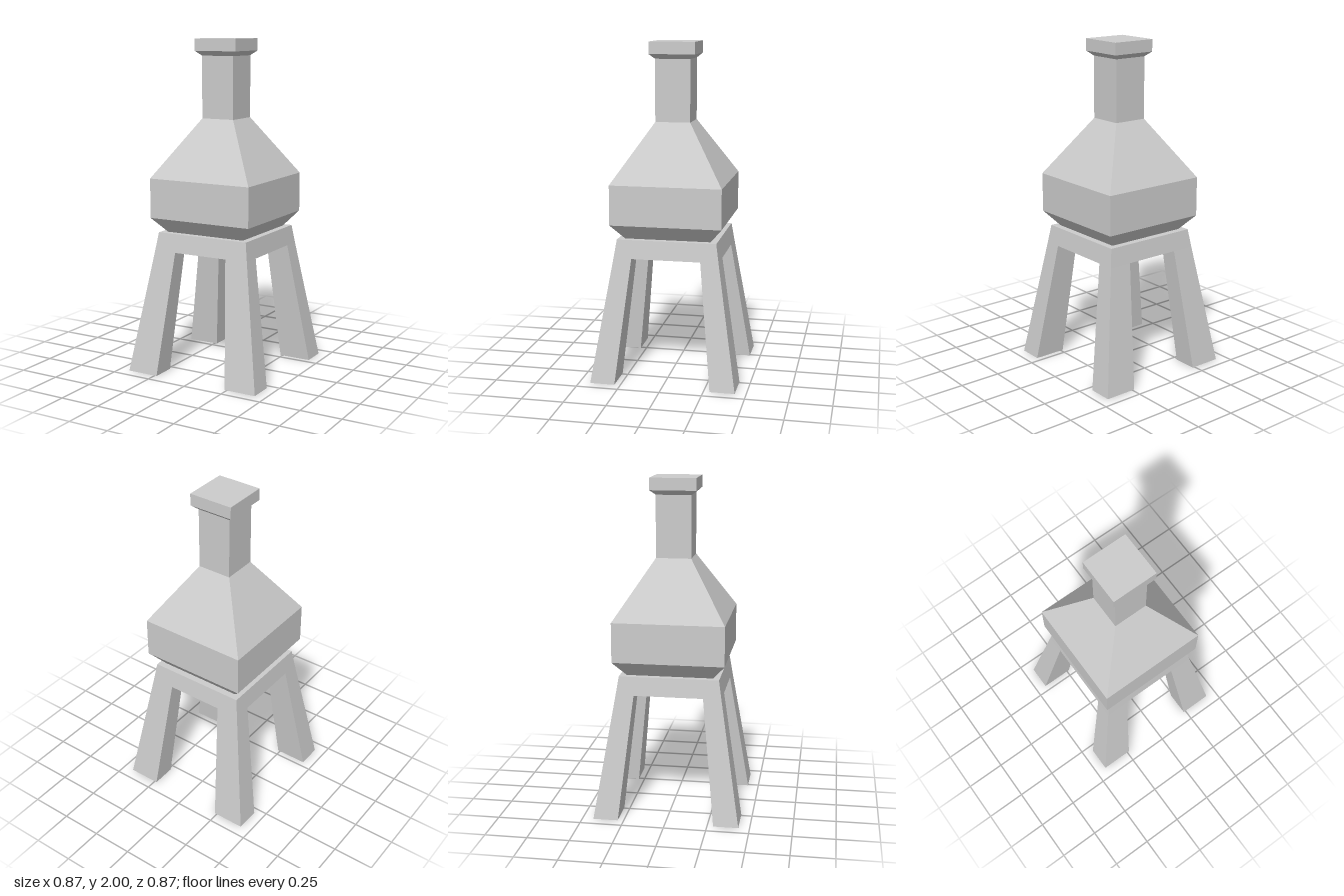
import * as THREE from 'three';

const solid = new THREE.MeshStandardMaterial({ color: 0xcccccc, flatShading: true });
const open = new THREE.MeshStandardMaterial({ color: 0xcccccc, flatShading: true, side: THREE.DoubleSide });

// Rectangle of four corners at height y, counter-clockwise from above
function rect(xa, xb, za, zb, y) {
  const x0 = Math.min(xa, xb), x1 = Math.max(xa, xb);
  const z0 = Math.min(za, zb), z1 = Math.max(za, zb);
  return [[x0, y, z1], [x1, y, z1], [x1, y, z0], [x0, y, z0]];
}

function meshFromQuads(name, quads) {
  const pos = [];
  for (const [a, b, c, d] of quads) pos.push(...a, ...b, ...c, ...a, ...c, ...d);
  const geo = new THREE.BufferGeometry();
  geo.setAttribute('position', new THREE.Float32BufferAttribute(pos, 3));
  geo.computeVertexNormals();
  const mesh = new THREE.Mesh(geo, open);
  mesh.name = name;
  return mesh;
}

// Walls joining consecutive four-cornered rings
function loft(rings) {
  const quads = [];
  for (let r = 0; r < rings.length - 1; r++) {
    for (let i = 0; i < 4; i++) {
      const j = (i + 1) % 4;
      quads.push([rings[r][i], rings[r][j], rings[r + 1][j], rings[r + 1][i]]);
    }
  }
  return quads;
}

export function createModel() {
  const model = new THREE.Group();

  // Square bottle: half-widths and heights from base to lid
  const profile = [
    [0, 0.85], [0.255, 0.85], [0.332, 0.942], [0.332, 1.18], [0.105, 1.53],
    [0.105, 1.9], [0.137, 1.928], [0.137, 2], [0, 2],
  ].map(([w, y]) => new THREE.Vector2(w * Math.SQRT2, y));
  const bottle = new THREE.Mesh(new THREE.LatheGeometry(profile, 4, Math.PI / 4), solid);
  bottle.name = 'bottle';
  model.add(bottle);

  const stand = new THREE.Group();
  stand.name = 'stand';
  model.add(stand);

  const foot = 0.434, knee = 0.314, top = 0.297; // outer half-widths, bottom to top
  const inX = 0.172, inZ = 0.206, railY = 0.742, topY = 0.852;

  // Frame: outer wall, top face, inner wall, and rail undersides between the legs
  const square = (w, y) => rect(-w, w, -w, w, y);
  const quads = loft([
    square(knee, railY), square(top, topY),
    rect(-inX, inX, -inZ, inZ, topY), rect(-inX, inX, -inZ, inZ, railY),
  ]);
  for (const s of [-1, 1]) {
    quads.push(rect(-inX, inX, s * inZ, s * knee, railY).reverse());
    quads.push(rect(s * inX, s * knee, -inZ, inZ, railY).reverse());
  }
  stand.add(meshFromQuads('frame', quads));

  // Splayed hollow legs, open at the foot
  for (const sx of [-1, 1]) {
    for (const sz of [-1, 1]) {
      const name = (sz > 0 ? 'front' : 'back') + (sx > 0 ? 'Left' : 'Right') + 'Leg';
      stand.add(meshFromQuads(name, loft([
        rect(sx * 0.236, sx * foot, sz * 0.286, sz * foot, 0),
        rect(sx * inX, sx * knee, sz * inZ, sz * knee, railY),
      ])));
    }
  }
  return model;
}
